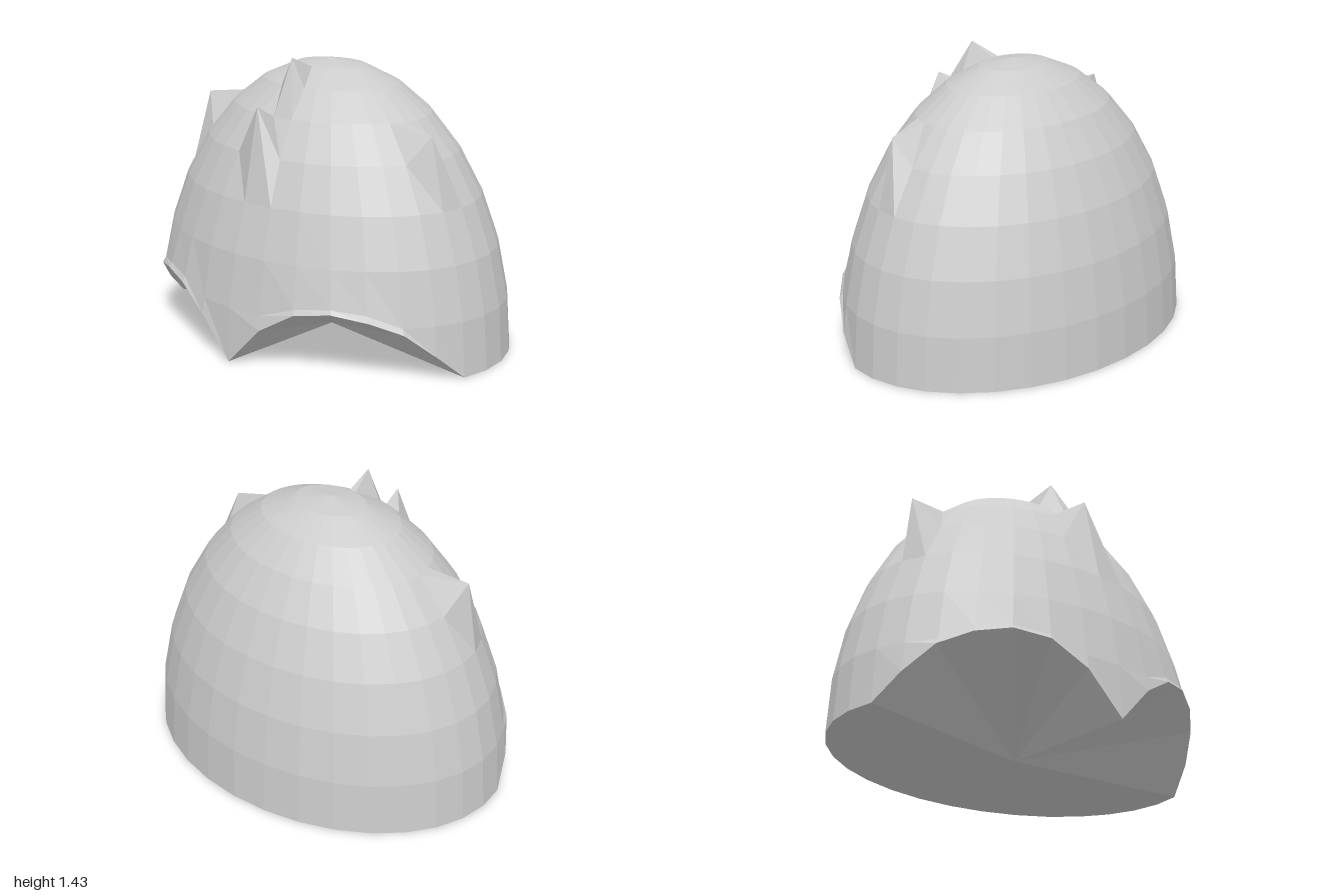
import * as THREE from 'three';

const SIDES = 32, RINGS = 8, HEIGHT = 1.4, DEPTH = 0.75;

export function createModel() {
  const group = new THREE.Group();
  const positions = [], index = [];
  const id = (ring, j) => ring * SIDES + (j % SIDES);

  // Rings of a half ellipsoid, from the rim up
  for (let i = 0; i < RINGS; i++) {
    const lat = (i / RINGS) * Math.PI / 2;
    for (let j = 0; j < SIDES; j++) {
      const a = (j / SIDES) * Math.PI * 2;
      positions.push(Math.cos(a) * Math.cos(lat), HEIGHT * Math.sin(lat), DEPTH * Math.sin(a) * Math.cos(lat));
    }
  }
  const top = positions.length / 3;
  positions.push(0, HEIGHT, 0, 0, 0, 0);
  const base = top + 1;

  // Two mirrored arches cut into the front rim, each with a thin lip above
  const arch = [0, 0.125, 0.245, 0.305, 0.335, 0.31, 0.2, 0];
  const lip = { 4: 0.335, 5: 0.355, 6: 0.335 };
  arch.forEach((y, k) => {
    for (const j of [k + 1, 15 - k]) {
      positions[id(0, j) * 3 + 1] = y;
      if (lip[k + 1]) positions[id(1, j) * 3 + 1] = lip[k + 1];
    }
  });

  // Spikes: single dome corners pulled outward (ring, side, position)
  const spikes = [
    [6, 8, [0, 1.435, 0.287]],
    [4, 8, [0, 1.23, 0.53]],
    [4, 1, [0.73, 1.125, 0.108]],
    [4, 15, [-0.762, 1.145, 0.113]],
  ];
  for (const [ring, j, p] of spikes) p.forEach((v, k) => { positions[id(ring, j) * 3 + k] = v; });

  // Walls, crown and underside
  for (let j = 0; j < SIDES; j++) {
    for (let i = 0; i < RINGS - 1; i++) {
      const ul = id(i + 1, j + 1), ur = id(i + 1, j), lr = id(i, j), ll = id(i, j + 1);
      index.push(ul, ll, lr, ul, lr, ur);
    }
    index.push(top, id(RINGS - 1, j + 1), id(RINGS - 1, j));
    index.push(base, id(0, j), id(0, j + 1));
  }

  const geometry = new THREE.BufferGeometry();
  geometry.setAttribute('position', new THREE.Float32BufferAttribute(positions, 3));
  geometry.setIndex(index);
  geometry.computeVertexNormals();
  const dome = new THREE.Mesh(geometry, new THREE.MeshStandardMaterial({ color: 0xcccccc, flatShading: true }));
  dome.name = 'spikedDome';
  group.add(dome);
  return group;
}
